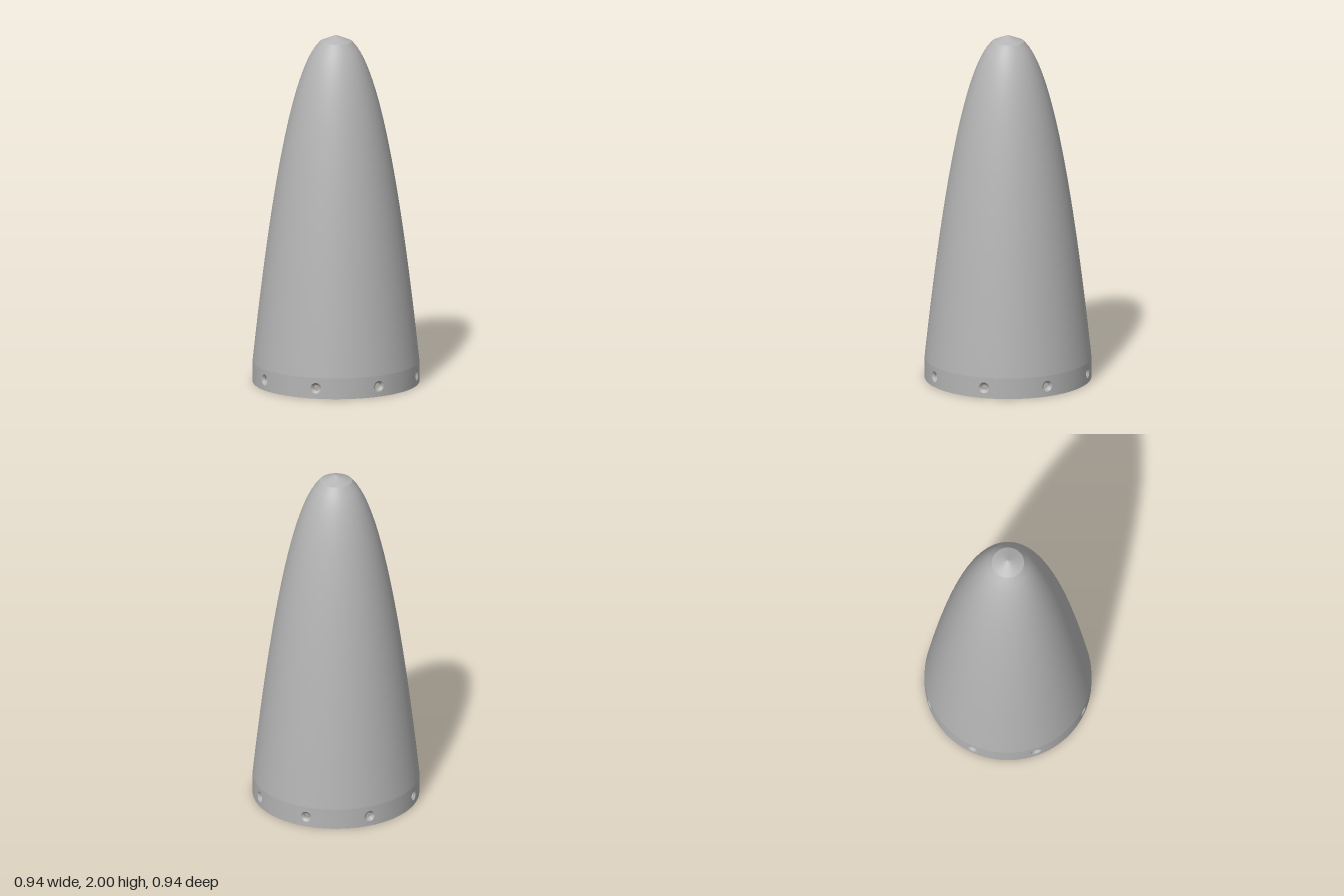
import * as THREE from 'three';
import { mergeGeometries } from 'three/addons/utils/BufferGeometryUtils.js';

const R = 0.47;          // outer radius
const RI = 0.447;        // inner radius of the collar
const COLLAR = 0.12;     // collar height
const HEIGHT = 2;
const HOLES = 8;
const HALF = COLLAR / 2; // half size of the square wall patch around a hole
const SIDES = 32;        // points around a hole

// Revolved strip; points run upwards for a surface that faces outwards
const lathe = (pts, seg = 128, start = 0, length = Math.PI * 2) =>
  new THREE.LatheGeometry(pts.map(([x, y]) => new THREE.Vector2(x, y)), seg, start, length);

// Loop wrapped on a cylinder of the given radius: a circle, or a square when size is null
function wrappedLoop(angle, radius, size) {
  const loop = [];
  for (let i = 0; i <= SIDES; i++) {
    const a = (i / SIDES) * Math.PI * 2;
    const c = Math.cos(a), s = Math.sin(a);
    const k = size ?? HALF / Math.max(Math.abs(c), Math.abs(s));
    const phi = angle + (k * c) / (size === null ? R : radius);
    loop.push(new THREE.Vector3(Math.sin(phi) * radius, HALF + k * s, Math.cos(phi) * radius));
  }
  return loop;
}

// Surface between two loops; wall = 1 or -1 gives exact radial normals
function bridge(a, b, wall = 0) {
  const geo = new THREE.BufferGeometry().setFromPoints([...a, ...b]);
  const index = [];
  for (let i = 0; i < SIDES; i++) {
    const j = i + a.length;
    index.push(i, i + 1, j + 1, i, j + 1, j);
  }
  geo.setIndex(index);
  geo.computeVertexNormals();
  if (wall) {
    const p = geo.attributes.position, n = geo.attributes.normal;
    for (let i = 0; i < p.count; i++) {
      const r = Math.hypot(p.getX(i), p.getZ(i)) * wall;
      n.setXYZ(i, p.getX(i) / r, 0, p.getZ(i) / r);
    }
  }
  return geo;
}

export function createModel() {
  const group = new THREE.Group();
  const grey = new THREE.MeshStandardMaterial({ color: 0xb4b4b4 });
  grey.name = 'grey';
  const add = (name, geo) => {
    const mesh = new THREE.Mesh(geo, grey);
    mesh.name = name;
    group.add(mesh);
  };

  // Power-curve body, with a separate shallow cone as its tip
  const STEPS = 50;
  const profile = [];
  for (let i = 0; i <= STEPS; i++) {
    const t = 1 - i / STEPS;
    profile.push([R * Math.pow(t, 0.42), HEIGHT - (HEIGHT - COLLAR) * t]);
  }
  add('noseBody', lathe(profile.slice(0, STEPS)));
  add('noseTip', lathe(profile.slice(STEPS - 1)));

  // Underside
  add('collarCeiling', lathe([[0, COLLAR], [RI, COLLAR]]));
  add('collarRim', lathe([[RI, 0], [R, 0]]));

  // Collar: plain wall sections alternate with patches holding countersunk holes
  const outer = [], inner = [], bores = [];
  const step = (Math.PI * 2) / HOLES;
  const patch = HALF / R;
  for (let h = 0; h < HOLES; h++) {
    const angle = (h + 0.5) * step;
    const start = angle + patch, length = step - 2 * patch;
    outer.push(lathe([[R, 0], [R, COLLAR]], 10, start, length));
    inner.push(lathe([[RI, COLLAR], [RI, 0]], 10, start, length));

    const mouth = wrappedLoop(angle, R, 0.031);
    const throat = wrappedLoop(angle, 0.457, 0.017);
    const exit = wrappedLoop(angle, RI, 0.017);
    outer.push(bridge(wrappedLoop(angle, R, null), mouth, 1));
    bores.push(bridge(mouth, throat), bridge(throat, exit));
    inner.push(bridge(exit, wrappedLoop(angle, RI, null), -1));
  }
  const merge = (list) => mergeGeometries(list.map((g) => {
    g.deleteAttribute('uv');
    return g;
  }));
  add('collarOuterWall', merge(outer));
  add('collarInnerWall', merge(inner));
  add('screwHoles', merge(bores));

  return group;
}
